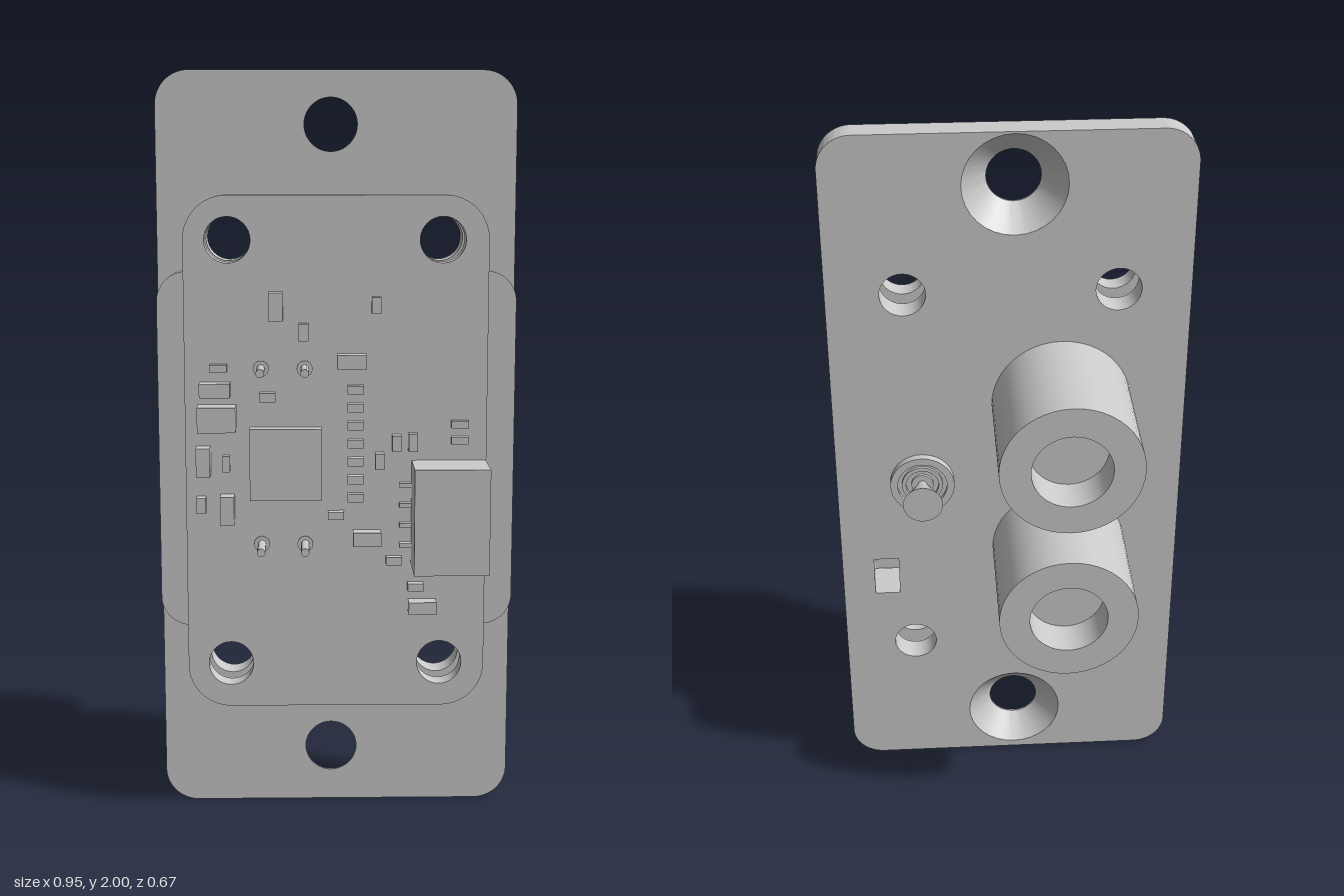
import * as THREE from 'three';
import { toCreasedNormals } from 'three/addons/utils/BufferGeometryUtils.js';

const material = new THREE.MeshStandardMaterial({ color: 0xcccccc });
const SCREW_X = [-0.285, 0.275], SCREW_Y = [0.43, 1.565];
const MOUNT = [[-0.015, 0.155], [-0.015, 1.86]];

export function createModel() {
  const model = new THREE.Group();
  model.name = 'sensorModule';

  function add(name, geometry, parent = model) {
    const mesh = new THREE.Mesh(geometry, material);
    mesh.name = name;
    parent.add(mesh);
    return mesh;
  }

  // Box given by its limits on each axis
  function box(name, x0, x1, y0, y1, z0, z1, parent) {
    const g = new THREE.BoxGeometry(x1 - x0, y1 - y0, z1 - z0);
    g.translate((x0 + x1) / 2, (y0 + y1) / 2, (z0 + z1) / 2);
    return add(name, g, parent);
  }

  // Turned part along z; profile points are [radius, z], counter-clockwise
  function turned(name, x, y, profile, segments = 40, parent) {
    const g = new THREE.LatheGeometry(profile.map(p => new THREE.Vector2(...p)), segments);
    g.rotateX(Math.PI / 2);
    return add(name, toCreasedNormals(g, 0.5), parent).position.set(x, y, 0);
  }

  // Rounded plate with circular holes [x, y, r] and rectangular ones [x0, x1, y0, y1]
  function plate(name, x0, x1, y0, y1, r, z0, z1, holes) {
    const s = new THREE.Shape();
    s.absarc(x1 - r, y1 - r, r, 0, Math.PI / 2);
    s.absarc(x0 + r, y1 - r, r, Math.PI / 2, Math.PI);
    s.absarc(x0 + r, y0 + r, r, Math.PI, Math.PI * 1.5);
    s.absarc(x1 - r, y0 + r, r, Math.PI * 1.5, Math.PI * 2);
    for (const h of holes) {
      const p = new THREE.Path();
      if (h.length === 3) p.absarc(h[0], h[1], h[2], 0, Math.PI * 2, true);
      else p.moveTo(h[0], h[2]).lineTo(h[0], h[3]).lineTo(h[1], h[3]).lineTo(h[1], h[2]).closePath();
      s.holes.push(p);
    }
    const g = new THREE.ExtrudeGeometry(s, { depth: z1 - z0, bevelEnabled: false, curveSegments: 16 });
    g.translate(0, 0, z0);
    return add(name, toCreasedNormals(g, 0.5));
  }

  // Face plate, spacer and circuit board
  const screwHoles = SCREW_X.flatMap(x => SCREW_Y.map(y => [x, y, 0.06]));
  const slot = [0.315, 0.385, 0.61, 0.73];
  plate('facePlate', -0.475, 0.475, 0, 2, 0.09, 0.01, 0.08,
    [...screwHoles, slot, ...MOUNT.map(([x, y]) => [x, y, 0.135])]);
  plate('spacer', -0.475, 0.475, 0.52, 1.48, 0.08, 0.08, 0.13, [slot]);
  plate('circuitBoard', -0.4, 0.395, 0.31, 1.68, 0.115, 0.135, 0.19, screwHoles);

  // Countersinks in the mounting holes
  for (const [x, y] of MOUNT)
    turned('countersink', x, y, [[0.135, 0.08], [0.07, 0.08], [0.07, 0.075], [0.135, 0.01]], 64);

  // Transducer barrels with their solder pins
  for (const y of [0.76, 1.23]) {
    turned('transducerBarrel', -0.14, y,
      [[0, -0.23], [0.105, -0.23], [0.105, -0.335], [0.187, -0.335], [0.187, 0.135], [0, 0.135]], 48);
    for (const x of [-0.2, -0.085])
      turned('transducerPin', x, y,
        [[0, 0.13], [0.021, 0.13], [0.021, 0.194], [0.011, 0.194], [0.011, 0.293], [0, 0.293]], 16);
  }

  // Ringed disc carrying a flared cone
  turned('sensorDisc', 0.24, 0.99, [[0, -0.006], [0.03, -0.006], [0.03, 0.002], [0.045, 0.002],
    [0.045, -0.008], [0.056, -0.008], [0.056, 0], [0.068, 0], [0.068, -0.012],
    [0.088, -0.012], [0.088, 0.015], [0, 0.015]]);
  turned('sensorCone', 0.24, 0.99, [[0, -0.105], [0.054, -0.105], [0.013, -0.012], [0.013, 0], [0, 0]], 32);

  // Main chip
  box('mainChip', -0.23, -0.04, 0.885, 1.075, 0.185, 0.23);

  // Surface-mounted parts: centre x, centre y, width, height, depth
  const parts = [
    [-0.16, 1.395, 0.037, 0.074, 0.045], [-0.088, 1.327, 0.026, 0.045, 0.028],
    [0.102, 1.397, 0.024, 0.042, 0.028], [-0.311, 1.233, 0.045, 0.02, 0.025],
    [-0.32, 1.177, 0.08, 0.037, 0.045], [-0.183, 1.156, 0.042, 0.024, 0.025],
    [-0.315, 1.103, 0.1, 0.066, 0.065], [0.038, 1.251, 0.077, 0.037, 0.042],
    [0.112, 0.986, 0.024, 0.042, 0.028], [0.157, 1.034, 0.024, 0.042, 0.028],
    [0.2, 1.036, 0.024, 0.048, 0.028], [0.323, 1.083, 0.045, 0.019, 0.02],
    [0.323, 1.04, 0.045, 0.019, 0.02], [-0.352, 0.987, 0.037, 0.077, 0.045],
    [-0.292, 0.98, 0.019, 0.042, 0.025], [-0.359, 0.869, 0.024, 0.042, 0.028],
    [-0.29, 0.857, 0.037, 0.077, 0.045], [-0.003, 0.84, 0.042, 0.021, 0.025],
    [0.079, 0.779, 0.074, 0.037, 0.042], [0.151, 0.716, 0.042, 0.021, 0.025],
    [0.209, 0.644, 0.042, 0.021, 0.025], [0.227, 0.59, 0.074, 0.034, 0.042],
  ];
  for (let i = 0; i < 7; i++) parts.push([0.048, 0.888 + i * 0.048, 0.042, 0.022, 0.025]);
  const components = new THREE.Group();
  components.name = 'surfaceComponents';
  model.add(components);
  for (const [x, y, w, h, d] of parts)
    box('component', x - w / 2, x + w / 2, y - h / 2, y + h / 2, 0.185, 0.19 + d, components);

  // Side-entry connector, open towards +x
  const connector = new THREE.Group();
  connector.name = 'connector';
  model.add(connector);
  box('connectorRearWall', 0.197, 0.24, 0.705, 0.985, 0.185, 0.33, connector);
  box('connectorOuterWall', 0.24, 0.393, 0.705, 0.985, 0.314, 0.33, connector);
  box('connectorFloor', 0.24, 0.393, 0.705, 0.985, 0.185, 0.215, connector);
  box('connectorLowerWall', 0.24, 0.393, 0.705, 0.745, 0.215, 0.314, connector);
  box('connectorUpperWall', 0.24, 0.393, 0.95, 0.985, 0.215, 0.314, connector);
  for (let i = 0; i < 4; i++) {
    const y = 0.758 + i * 0.054;
    box('connectorContact', 0.24, 0.36, y - 0.007, y + 0.007, 0.275, 0.292, connector);
    box('connectorLead', 0.165, 0.2, y - 0.006, y + 0.006, 0.188, 0.21, connector);
  }

  return model;
}
